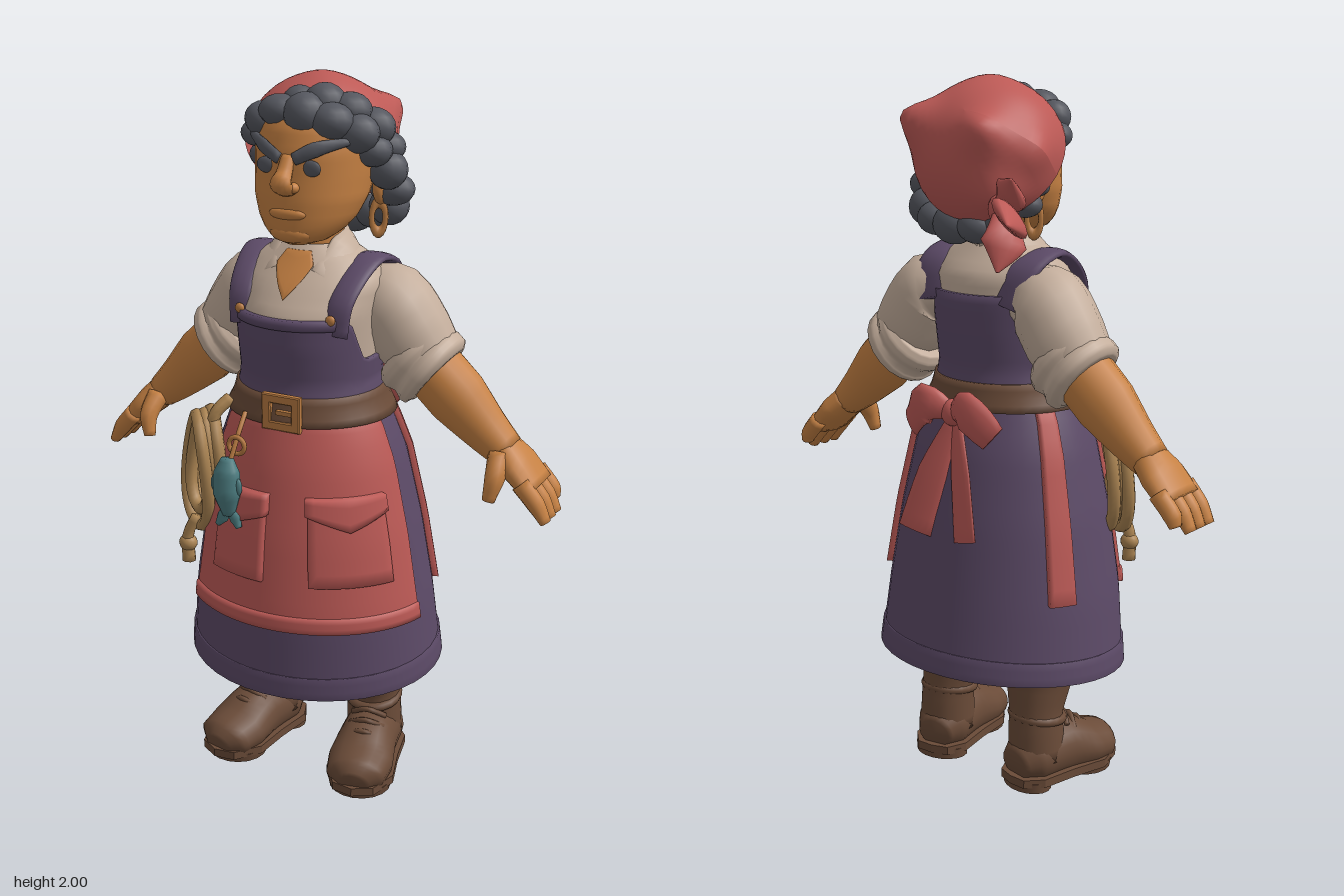
import * as THREE from 'three';
import { mergeVertices } from 'three/addons/utils/BufferGeometryUtils.js';

const paint = (name, color, side = THREE.FrontSide) => {
  const m = new THREE.MeshStandardMaterial({ color, side });
  m.name = name;
  return m;
};
const V = (p) => new THREE.Vector3(...p);
const { lerp, smoothstep } = THREE.MathUtils;

// Cross-sections: height, half width, centre z, half depth
const BODY = [
  [0.34, 0.375, 0.025, 0.325], [0.58, 0.35, 0.04, 0.303], [0.8, 0.313, 0.045, 0.273], [1.0, 0.268, 0.05, 0.236],
  [1.1, 0.23, 0.055, 0.205], [1.16, 0.197, 0.055, 0.188], [1.22, 0.183, 0.055, 0.178], [1.32, 0.19, 0.055, 0.19],
  [1.4, 0.197, 0.053, 0.193], [1.48, 0.205, 0.03, 0.162], [1.53, 0.165, 0.03, 0.12], [1.575, 0.085, 0.03, 0.085]];
const HEAD = [
  [1.58, 0.03, 0.13, 0.03], [1.59, 0.07, 0.115, 0.07], [1.615, 0.105, 0.09, 0.108], [1.65, 0.132, 0.07, 0.13],
  [1.7, 0.152, 0.05, 0.15], [1.76, 0.16, 0.03, 0.165], [1.82, 0.165, 0.01, 0.183], [1.88, 0.16, 0, 0.175],
  [1.93, 0.125, 0, 0.14], [1.965, 0.02, 0, 0.02]];

function section(rings, y) {
  let i = 0;
  while (i < rings.length - 2 && y > rings[i + 1][0]) i++;
  const a = rings[i], b = rings[i + 1], t = THREE.MathUtils.clamp((y - a[0]) / (b[0] - a[0]), 0, 1);
  return [1, 2, 3].map((k) => lerp(a[k], b[k], t));
}

function surface(pos, cols, rows) {
  const idx = [];
  for (let j = 0; j < rows - 1; j++) for (let i = 0; i < cols - 1; i++) {
    const a = j * cols + i, b = a + cols;
    idx.push(a, a + 1, b + 1, a, b + 1, b);
  }
  let g = new THREE.BufferGeometry();
  g.setAttribute('position', new THREE.Float32BufferAttribute(pos, 3));
  g.setIndex(idx);
  g = mergeVertices(g, 1e-5);
  g.computeVertexNormals();
  return g;
}

// A panel that follows the cross-sections, raised by off with closed edges; angle 0 is the front
function panel(rings, t0, t1, y0, y1, off = 0, nu = 24, nv = 12) {
  const f = (v, t) => (typeof v === 'function' ? v(t) : v), pos = [];
  const m = t1 - t0 > 6.28 ? 0 : 1;
  for (let j = -1; j <= nv + 1; j++) for (let i = -m; i <= nu + m; i++) {
    const u = Math.min(Math.max(i, 0), nu) / nu, v = Math.min(Math.max(j, 0), nv) / nv;
    const o = j < 0 || j > nv || i < 0 || i > nu ? 0 : off;
    const t = lerp(t0, t1, u), y = lerp(f(y0, t), f(y1, t), v), [rx, cz, rz] = section(rings, y);
    pos.push(Math.sin(t) * (rx + o), y, cz + Math.cos(t) * (rz + o));
  }
  return surface(pos, nu + 1 + 2 * m, nv + 3);
}

// Elliptical sweep along a curve: w is the half width along side, h the half thickness
function sweep(pts, w, h, side = [0, 0, 1], seg = 14) {
  const curve = new THREE.CatmullRomCurve3(pts.map(V)), n = (pts.length - 1) * 4, pos = [];
  const at = (r, t) => {
    if (!Array.isArray(r)) return r;
    const k = Math.min(Math.floor(t * (r.length - 1)), r.length - 2);
    return lerp(r[k], r[k + 1], t * (r.length - 1) - k);
  };
  for (let i = -1; i <= n + 1; i++) {
    const t = Math.min(Math.max(i, 0), n) / n, end = i < 0 || i > n ? 0 : 1;
    const P = curve.getPoint(t), T = curve.getTangent(t), S = V(side);
    S.addScaledVector(T, -S.dot(T)).normalize();
    const N = T.clone().cross(S);
    for (let j = 0; j <= seg; j++) {
      const a = (j / seg) * Math.PI * 2;
      const q = P.clone().addScaledVector(S, end * at(w, t) * Math.cos(a)).addScaledVector(N, end * at(h, t) * Math.sin(a));
      pos.push(q.x, q.y, q.z);
    }
  }
  return surface(pos, seg + 1, n + 3);
}

const blob = (p, r) => new THREE.SphereGeometry(1, 14, 10).scale(...r).translate(...p);

export function createModel() {
  const root = new THREE.Group();
  root.name = 'villager';
  const skin = paint('skin', 0xc68143), red = paint('red cloth', 0xbd5a56, THREE.DoubleSide);
  const purple = paint('purple cloth', 0x5c4a67), cream = paint('cream shirt', 0xc4ae9c);
  const leather = paint('brown leather', 0x6a4b38), hair = paint('slate hair', 0x55575f);
  const rope = paint('rope', 0xac8553), teal = paint('teal fish', 0x4c7c80), gold = paint('brass', 0xb97b42);
  const add = (name, geo, mat, parent = root) => {
    const m = new THREE.Mesh(geo, mat);
    m.name = name;
    parent.add(m);
  };
  const both = (fn) => [1, -1].forEach((s) => fn(s, s > 0 ? 'left' : 'right'));
  const PI = Math.PI;

  // Skirt with a hem lower in front
  const hem = (t) => 0.365 - 0.02 * Math.cos(t);
  add('skirt', panel(BODY, -PI, PI, hem, 1.17, 0, 40, 20), purple);
  add('skirtHem', panel(BODY, -PI, PI, hem, (t) => hem(t) + 0.065, 0.005, 40, 3), purple);
  add('skirtUnderside', new THREE.CircleGeometry(1, 40).scale(0.374, 0.324, 1).rotateX(PI / 2 + 0.06).translate(0, 0.366, 0.025), purple);

  // Apron, pockets and side ties
  add('apron', panel(BODY, -0.8, 1.37, 0.555, 1.14, 0.014, 28, 14), red);
  add('apronHem', panel(BODY, -0.8, 1.37, 0.555, 0.6, 0.02, 28, 3), red);
  [[-0.53, 0.02], [0.36, 1.12]].forEach(([a, b]) => {
    const mid = (a + b) / 2;
    add('pocket', panel(BODY, a + 0.02, b - 0.02, 0.69, 0.91, 0.025, 10, 6), red);
    add('pocketFlap', panel(BODY, a, b, (t) => 0.845 + 0.12 * Math.abs(t - mid), 0.935, 0.034, 10, 4), red);
  });
  both((s, n) => add(n + 'SideTie', panel(BODY, s * 2.04 - 0.12, s * 2.04 + 0.12, 0.6, 1.13, 0.018, 6, 12), red));

  // Bow at the back
  add('bowKnot', blob([0, 1.11, -0.185], [0.034, 0.038, 0.03]), red);
  both((s, n) => {
    add(n + 'BowLoop', sweep([[0, 1.11, -0.18], [s * 0.07, 1.13, -0.215], [s * 0.145, 1.06, -0.19]], [0.02, 0.058, 0.042], [0.014, 0.026, 0.012], [0, 1, 0]), red);
    add(n + 'BowTail', sweep([[0, 1.1, -0.17], [s * 0.05, 0.94, -0.212], [s * 0.09, 0.77, -0.243]], [0.02, 0.044, 0.052], 0.01, [1, 0, -s * 0.3]), red);
  });

  // Shirt, bodice and straps
  add('shirt', panel(BODY, -PI, PI, 1.16, 1.575, 0, 36, 20), cream);
  const top = (t) => {
    const a = Math.abs(t);
    return a < 1.6 ? 1.4 - 0.12 * smoothstep(a, 0.92, 1.3) : 1.28 + 0.15 * smoothstep(a, 1.8, 2.3);
  };
  add('bodice', panel(BODY, -PI, PI, 1.16, top, 0.012, 56, 12), purple);
  add('bodiceTrim', panel(BODY, -0.9, 0.9, 1.375, 1.402, 0.016, 20, 2), purple);
  add('neckline', panel(BODY, -0.32, 0.32, (t) => 1.445 + 0.26 * Math.abs(t), 1.56, 0.005, 12, 6), skin);
  add('neck', sweep([[0, 1.47, 0.03], [0, 1.56, 0.03], [0, 1.66, 0.03]], 0.078, 0.078), skin);
  both((s, n) => {
    add(n + 'Strap', sweep([[s * 0.14, 1.36, 0.192], [s * 0.148, 1.44, 0.178], [s * 0.16, 1.51, 0.105], [s * 0.165, 1.537, 0.03],
      [s * 0.155, 1.5, -0.072], [s * 0.13, 1.4, -0.112]], [0.036, 0.036, 0.04, 0.045, 0.055, 0.06], 0.014, [1, 0, 0]), purple);
    add(n + 'StrapButton', blob([s * 0.135, 1.405, 0.21], [0.014, 0.014, 0.009]), gold);
    add(n + 'Collar', sweep([[0, 1.575, -0.062], [s * 0.08, 1.57, -0.02], [s * 0.105, 1.553, 0.06], [s * 0.08, 1.497, 0.15]],
      [0.032, 0.04, 0.05, 0.036], 0.012, [s * 0.7, -0.8, 0.15]), cream);

    // Sleeves and rolled cuffs
    add(n + 'Sleeve', sweep([[s * 0.13, 1.42, -0.02], [s * 0.2, 1.405, -0.025], [s * 0.265, 1.32, -0.03], [s * 0.31, 1.26, -0.03]],
      [0.085, 0.115, 0.112, 0.1], [0.08, 0.112, 0.112, 0.1]), cream);
    add(n + 'Cuff', sweep([[s * 0.25, 1.29, -0.03], [s * 0.265, 1.277, -0.03], [s * 0.28, 1.264, -0.03], [s * 0.295, 1.252, -0.03],
      [s * 0.313, 1.24, -0.03], [s * 0.33, 1.228, -0.03], [s * 0.34, 1.22, -0.03]],
    [0.1, 0.116, 0.12, 0.11, 0.121, 0.118, 0.095], [0.1, 0.117, 0.121, 0.111, 0.121, 0.118, 0.095], [0, 0, 1], 20), cream);

    // Bare forearms and hands
    add(n + 'Forearm', sweep([[s * 0.31, 1.25, -0.03], [s * 0.4, 1.165, -0.03], [s * 0.48, 1.09, -0.03], [s * 0.545, 1.035, -0.03]],
      [0.085, 0.08, 0.065, 0.056], [0.085, 0.086, 0.066, 0.05]), skin);
    add(n + 'Palm', sweep([[s * 0.53, 1.05, -0.03], [s * 0.58, 1.005, -0.03], [s * 0.635, 0.95, -0.03]], [0.054, 0.082, 0.087], [0.045, 0.044, 0.034]), skin);
    [-0.095, -0.052, -0.009, 0.033].forEach((z, i) => {
      const d = i === 0 ? -0.02 : 0;
      add(n + 'Finger', sweep([[s * 0.61, 0.975, z], [s * 0.655, 0.925, z], [s * (0.685 + d), 0.878 - d, z]], [0.026, 0.026, 0.02], [0.027, 0.025, 0.015], [0, 0, 1], 10), skin);
    });
    add(n + 'Thumb', sweep([[s * 0.54, 1.035, 0.01], [s * 0.545, 0.985, 0.055], [s * 0.535, 0.925, 0.07]], [0.034, 0.029, 0.018], [0.032, 0.027, 0.017], [0, 0, 1], 10), skin);

    // Boots, toes turned outward
    const boot = new THREE.Group();
    boot.name = n + 'Boot';
    boot.position.x = s * 0.175;
    boot.rotation.y = s * 0.2;
    root.add(boot);
    const part = (name, geo) => add(name, geo, leather, boot);
    part('shaft', sweep([[-s * 0.015, 0.4, 0], [-s * 0.015, 0.33, 0], [-s * 0.005, 0.22, -0.02], [0, 0.08, -0.02]], [0.103, 0.1, 0.078, 0.083], [0.103, 0.1, 0.078, 0.085], [1, 0, 0], 18));
    part('ankleCollar', new THREE.TorusGeometry(0.073, 0.014, 8, 20).rotateX(PI / 2 + 0.15).translate(-s * 0.005, 0.205, -0.015));
    part('foot', sweep([[0, 0.075, -0.105], [0, 0.085, -0.05], [0, 0.09, 0.06], [0, 0.07, 0.15], [0, 0.06, 0.215], [0, 0.05, 0.248]],
      [0.05, 0.082, 0.084, 0.096, 0.085, 0.04], [0.045, 0.08, 0.09, 0.07, 0.06, 0.035], [1, 0, 0], 18));
    const outline = new THREE.Shape([[0, -0.26], [0.06, -0.24], [0.1, -0.16], [0.088, -0.05], [0.085, 0.06], [0.05, 0.112], [0, 0.12],
      [-0.05, 0.112], [-0.085, 0.06], [-0.088, -0.05], [-0.1, -0.16], [-0.06, -0.24]].map((p) => new THREE.Vector2(...p)));
    part('sole', new THREE.ExtrudeGeometry(outline, { depth: 0.025, bevelEnabled: false }).rotateX(-PI / 2).translate(0, 0.018, 0));
    part('heel', new THREE.CylinderGeometry(0.082, 0.08, 0.03, 18).scale(1, 1, 0.75).translate(0, 0.015, -0.055));
    part('treadFront', new THREE.CylinderGeometry(0.095, 0.09, 0.026, 18).scale(1, 1, 0.95).translate(0, 0.013, 0.155));
    [[0.19, 0.062], [0.17, 0.09], [0.15, 0.12]].forEach(([y, z]) =>
      part('lace', sweep([[-0.05, y - 0.02, z - 0.01], [0, y + 0.006, z + 0.012], [0.05, y - 0.02, z - 0.01]], 0.008, 0.008, [0, 0, 1], 8)));
  });

  // Belt and buckle
  add('belt', panel(BODY, -PI, PI, 1.115, 1.19, 0.019, 40, 4), leather);
  const rect = (C, w, h) => new C([[-w, -h], [w, -h], [w, h], [-w, h]].map((p) => new THREE.Vector2(...p)));
  const frame = rect(THREE.Shape, 0.054, 0.047);
  frame.holes.push(rect(THREE.Path, 0.034, 0.028));
  add('buckle', new THREE.ExtrudeGeometry(frame, { depth: 0.014, bevelSize: 0.003, bevelThickness: 0.003, bevelSegments: 1 }).translate(0.02, 1.152, 0.258), gold);
  add('bucklePin', new THREE.BoxGeometry(0.05, 0.012, 0.012).translate(0.03, 1.152, 0.268), gold);

  // Coiled rope on the right hip
  const coil = new THREE.Group();
  coil.name = 'ropeCoil';
  coil.position.set(-0.25, 0.92, 0.185);
  coil.rotation.set(0, -0.75, -0.12, 'YXZ');
  root.add(coil);
  [[0.105, 0.172, 0, 0], [0.088, 0.155, 0.022, 0.01], [0.1, 0.168, 0.042, -0.006], [0.072, 0.138, 0.036, 0.012]].forEach(([a, b, z, dy]) => {
    const pts = Array.from({ length: 16 }, (_, i) => V([a * Math.cos(i * PI / 8), dy + b * Math.sin(i * PI / 8), z + 0.008 * Math.sin(i * PI / 4)]));
    add('ropeLoop', new THREE.TubeGeometry(new THREE.CatmullRomCurve3(pts, true), 40, 0.019, 8, true), rope, coil);
  });
  add('ropeHanger', sweep([[-0.18, 1.14, 0.19], [-0.21, 1.1, 0.225], [-0.22, 1.02, 0.23]], 0.018, 0.018, [0, 0, 1], 8), rope);
  add('ropeEnd', sweep([[-0.28, 0.78, 0.23], [-0.305, 0.72, 0.235], [-0.305, 0.64, 0.235]], [0.015, 0.017, 0.02], [0.015, 0.017, 0.02], [0, 0, 1], 8), rope);
  add('ropeKnot', blob([-0.306, 0.695, 0.235], [0.027, 0.025, 0.025]), rope);

  // Fish charm hanging from the belt
  add('fishRing', new THREE.TorusGeometry(0.024, 0.007, 8, 18).translate(-0.1, 1.05, 0.3), gold);
  add('fishCord', sweep([[-0.1, 1.13, 0.25], [-0.1, 1.08, 0.29], [-0.11, 1.0, 0.325]], 0.007, 0.007, [0, 0, 1], 8), gold);
  add('fishBody', sweep([[-0.115, 1.02, 0.325], [-0.115, 0.98, 0.33], [-0.113, 0.92, 0.335], [-0.108, 0.86, 0.335]], [0.018, 0.038, 0.04, 0.018], [0.014, 0.029, 0.031, 0.014], [1, 0, 0]), teal);
  both((s) => {
    add('fishTail', sweep([[-0.108, 0.875, 0.335], [-0.108 + s * 0.02, 0.85, 0.335], [-0.108 + s * 0.033, 0.828, 0.338]], [0.012, 0.018, 0.008], 0.01, [1, 0, 0], 8), teal);
    add('fishFin', blob([-0.114 + s * 0.036, 0.945, 0.335], [0.012, 0.025, 0.009]), teal);
  });

  // Head and face
  add('head', panel(HEAD, -PI, PI, 1.58, 1.965, 0, 32, 28), skin);
  add('nose', sweep([[0, 1.815, 0.182], [0, 1.775, 0.205], [0, 1.75, 0.224], [0, 1.728, 0.195]], [0.018, 0.022, 0.03, 0.03], [0.013, 0.018, 0.022, 0.016], [1, 0, 0]), skin);
  add('lips', blob([0, 1.668, 0.188], [0.055, 0.018, 0.018]), skin);
  add('chin', blob([0, 1.615, 0.172], [0.06, 0.027, 0.028]), skin);
  both((s, n) => {
    add(n + 'Nostril', blob([s * 0.024, 1.738, 0.2], [0.015, 0.014, 0.017]), skin);
    add(n + 'Eye', blob([s * 0.066, 1.788, 0.181], [0.027, 0.021, 0.009]), hair);
    add(n + 'Brow', sweep([[s * 0.022, 1.81, 0.195], [s * 0.075, 1.836, 0.178], [s * 0.14, 1.852, 0.112]], [0.016, 0.02, 0.01], 0.011, [0, 1, 0], 10), hair);
    add(n + 'Ear', blob([s * 0.162, 1.715, -0.035], [0.022, 0.05, 0.038]), skin);
    add(n + 'Earring', new THREE.TorusGeometry(0.029, 0.012, 8, 18).scale(0.65, 1.4, 1).rotateY(0.6).translate(s * 0.156, 1.632, -0.03), gold);
  });

  // Hair beneath the kerchief and thick overlapping waves around its edge: x, y, z, radius
  const tilt = new THREE.Quaternion().setFromUnitVectors(V([0, 1, 0]), V([-0.2, 0.6, -0.77]).normalize());
  add('hairBase', new THREE.SphereGeometry(1, 28, 16, 0, PI * 2, 0, 1.9).applyQuaternion(tilt).scale(0.195, 0.185, 0.185).translate(-0.005, 1.79, -0.045), hair);
  [[-0.165, 1.78, 0.015, 0.034], [-0.16, 1.845, 0.06, 0.042], [-0.12, 1.89, 0.1, 0.046], [-0.055, 1.918, 0.12, 0.05],
    [0.02, 1.915, 0.127, 0.056], [0.09, 1.9, 0.115, 0.056], [0.14, 1.868, 0.075, 0.052], [0.168, 1.82, 0.035, 0.05],
    [0.19, 1.765, -0.01, 0.052], [0.182, 1.705, -0.06, 0.052], [0.155, 1.65, -0.1, 0.053],
    [0.1, 1.625, -0.125, 0.055], [0.03, 1.615, -0.135, 0.055], [-0.05, 1.615, -0.135, 0.055], [-0.115, 1.63, -0.115, 0.05],
    [-0.16, 1.675, -0.075, 0.042], [0.05, 1.935, 0.075, 0.055], [0.11, 1.92, 0.05, 0.055], [0.155, 1.875, 0.01, 0.052],
    [0.178, 1.82, -0.03, 0.048], [-0.02, 1.935, 0.08, 0.045], [-0.175, 1.72, -0.045, 0.032]]
    .forEach(([x, y, z, r], i) => add('curl', blob([x, y, z], [r * (i % 3 ? 1.05 : 1.2), r * (i % 2 ? 0.85 : 1), r]), hair));

  // Kerchief: a tilted cap pulled toward its folded corners
  const cap = new THREE.SphereGeometry(1, 40, 20, 0, PI * 2, 0, 1.62).applyQuaternion(tilt);
  const pulls = [[-0.5, 0.35, -0.8, 0.2], [0.55, 0.42, -0.72, 0.28], [-0.92, 0.08, -0.35, 0.15], [-0.65, -0.45, -0.6, 0.16], [0.1, 0.98, 0.15, 0.04]]
    .map(([x, y, z, k]) => [V([x, y, z]).normalize(), k]);
  const p = cap.attributes.position;
  for (let i = 0; i < p.count; i++) {
    const v = new THREE.Vector3().fromBufferAttribute(p, i), d = v.clone();
    pulls.forEach(([dir, k]) => v.addScaledVector(dir, k * Math.max(0, d.dot(dir)) ** 24));
    p.setXYZ(i, v.x, v.y, v.z);
  }
  cap.scale(0.21, 0.2, 0.2).translate(-0.03, 1.797, -0.06);
  cap.computeVertexNormals();
  add('kerchief', cap, red);
  add('kerchiefKnot', blob([-0.185, 1.675, -0.195], [0.042, 0.044, 0.04]), red);
  [[-0.335, 1.66, -0.365, 0.064], [-0.3, 1.765, -0.31, 0.05], [-0.225, 1.525, -0.27, 0.062]].forEach(([x, y, z, w]) =>
    add('kerchiefTail', sweep([[-0.185, 1.675, -0.195], [lerp(-0.185, x, 0.55) - 0.012, lerp(1.675, y, 0.55), lerp(-0.195, z, 0.55)], [x, y, z]],
      [0.025, w, 0.004], [0.022, 0.024, 0.004], [0.6, 0.8, -0.3]), red));
  return root;
}
